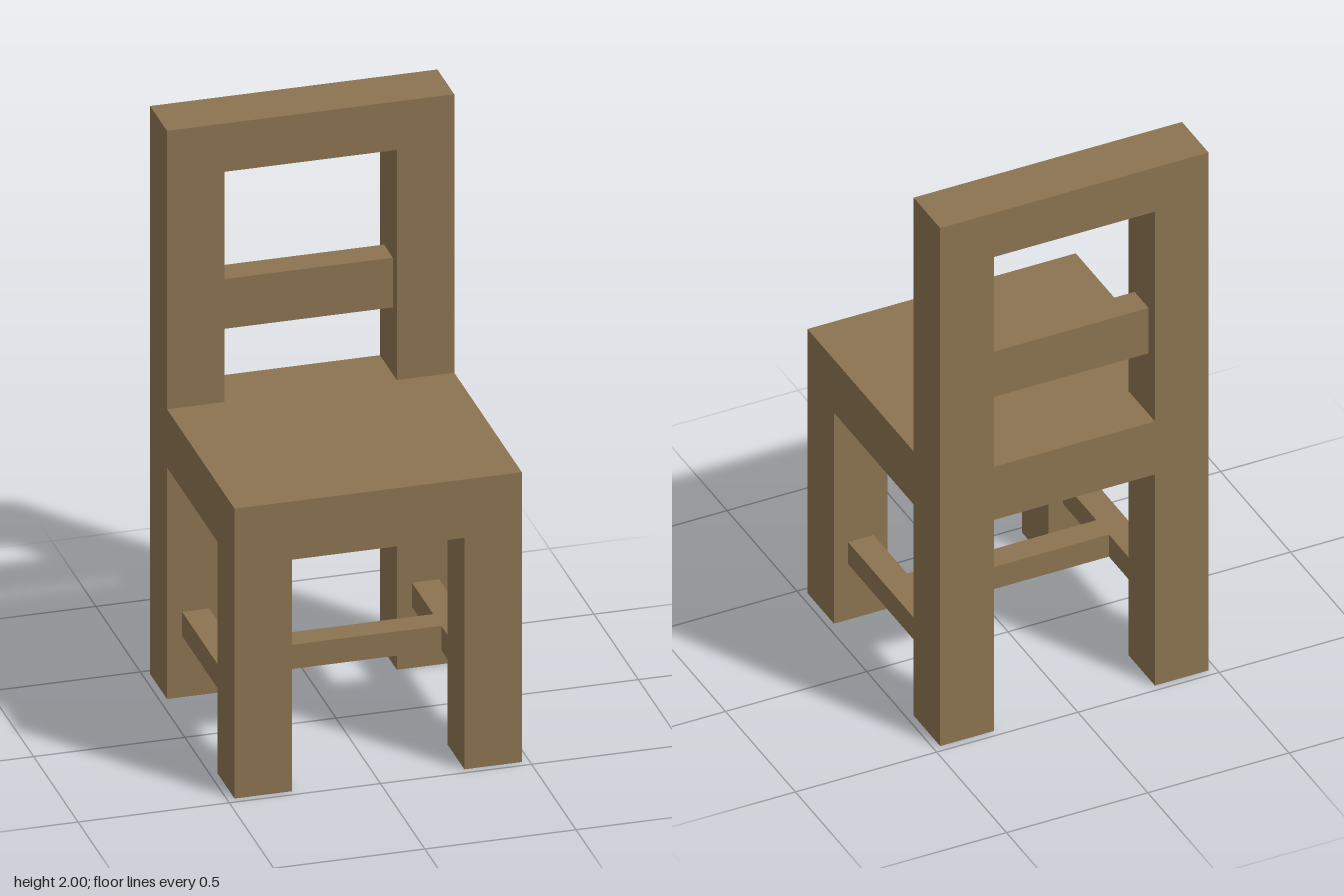
import * as THREE from 'three';

const HALF = 0.475;          // half of the chair's width and depth
const LEG = 0.19;            // leg thickness
const INNER = HALF - LEG;    // inner faces of the legs
const SEAT_BOTTOM = 0.815, SEAT_TOP = 1.02, HEIGHT = 2;

export function createModel() {
  const chair = new THREE.Group();
  chair.name = 'chair';
  const wood = new THREE.MeshStandardMaterial({ color: 0x8b7350 });

  const add = (name, geometry) => {
    const mesh = new THREE.Mesh(geometry, wood);
    mesh.name = name;
    chair.add(mesh);
    return mesh;
  };
  // Box given by its low and high bounds on each axis
  const box = (name, [x0, x1], [y0, y1], [z0, z1]) =>
    add(name, new THREE.BoxGeometry(x1 - x0, y1 - y0, z1 - z0))
      .position.set((x0 + x1) / 2, (y0 + y1) / 2, (z0 + z1) / 2);
  const points = (list) => list.map(([x, y]) => new THREE.Vector2(x, y));

  // Back frame: rear legs, posts, seat rail and top rail in one piece
  const frame = new THREE.Shape(points([
    [-HALF, 0], [-INNER, 0], [-INNER, SEAT_BOTTOM], [INNER, SEAT_BOTTOM],
    [INNER, 0], [HALF, 0], [HALF, HEIGHT], [-HALF, HEIGHT],
  ]));
  frame.holes.push(new THREE.Path(points([
    [-INNER, SEAT_TOP], [-INNER, 1.83], [INNER, 1.83], [INNER, SEAT_TOP],
  ])));
  add('backFrame', new THREE.ExtrudeGeometry(frame, { depth: LEG, bevelEnabled: false }))
    .position.z = -HALF;

  // Slat across the back opening
  box('backSlat', [-INNER, INNER], [1.255, 1.43], [-0.43, -0.33]);

  // Thick seat
  box('seat', [-HALF, HALF], [SEAT_BOTTOM, SEAT_TOP], [-INNER, HALF]);

  // Front legs and side stretchers
  const barY = [0.215, 0.3], barOuter = 0.425, barInner = 0.335;
  for (const [side, s] of [['left', 1], ['right', -1]]) {
    const span = (a, b) => (s > 0 ? [a, b] : [-b, -a]);
    box(`${side}FrontLeg`, span(INNER, HALF), [0, SEAT_BOTTOM], [INNER, HALF]);
    box(`${side}Stretcher`, span(barInner, barOuter), barY, [-INNER, INNER]);
  }

  // Cross stretcher joining the two sides
  box('crossStretcher', [-barInner, barInner], barY, [-0.045, 0.045]);

  return chair;
}
